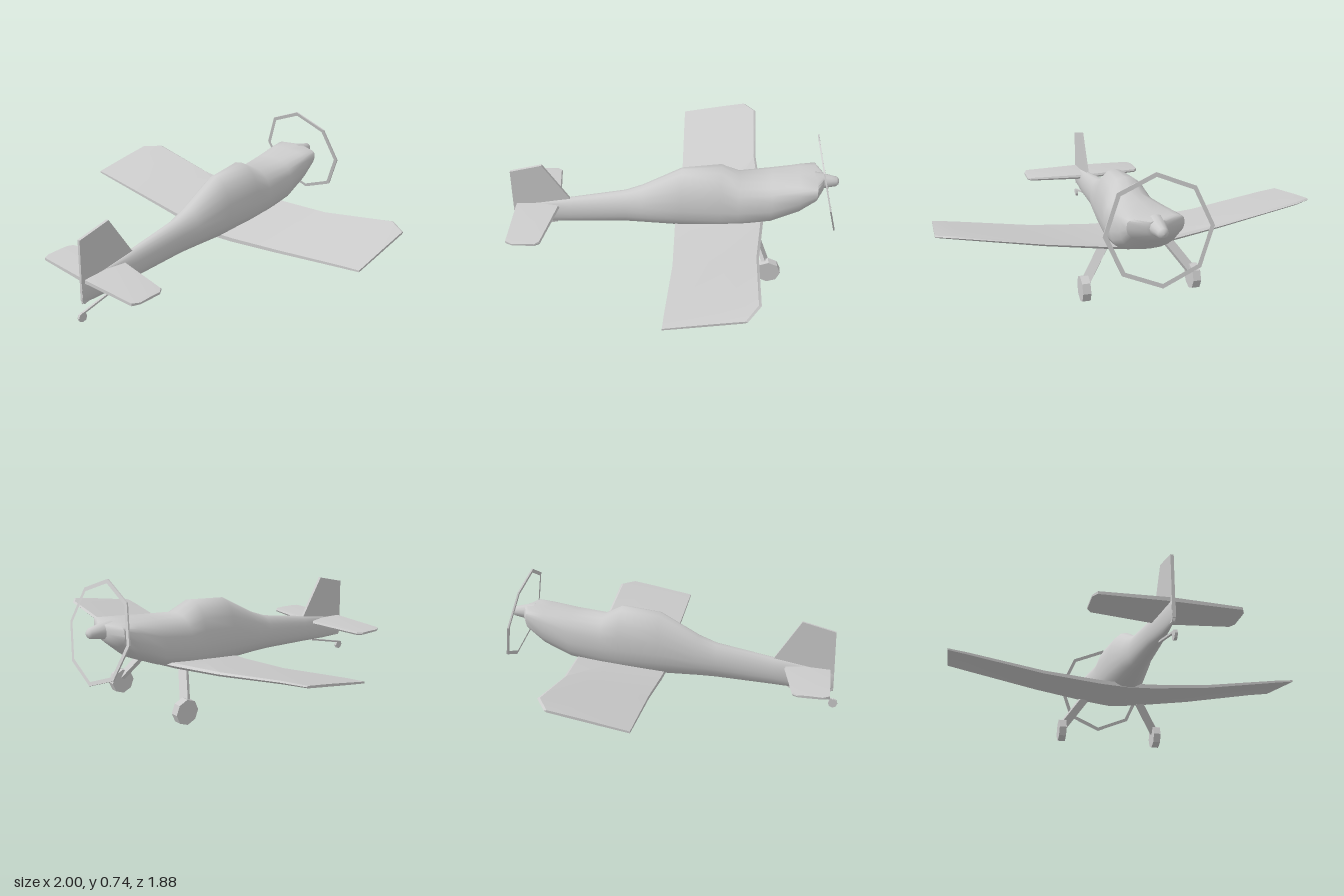
import * as THREE from 'three';
import { toCreasedNormals } from 'three/addons/utils/BufferGeometryUtils.js';

const material = new THREE.MeshStandardMaterial({ color: 0xcccccc });

function part(name, geometry, parent) {
  const mesh = new THREE.Mesh(geometry, material);
  mesh.name = name;
  parent.add(mesh);
  return mesh;
}

// Skin through closed rings of [x, y, z], each counterclockwise seen from the last ring; ends capped
function loft(rings, crease) {
  const n = rings[0].length;
  const points = rings.flat();
  const index = [];
  for (let i = 0; i < rings.length - 1; i++) {
    for (let j = 0; j < n; j++) {
      const k = (j + 1) % n;
      const a = i * n + j, d = i * n + k;
      index.push(a, d, d + n, a, d + n, a + n);
    }
  }
  [rings[0], rings[rings.length - 1]].forEach((ring, end) => {
    const c = points.length;
    points.push([0, 1, 2].map((q) => ring.reduce((s, p) => s + p[q], 0) / n));
    const base = end ? (rings.length - 1) * n : 0;
    for (let j = 0; j < n; j++) {
      const a = base + j, b = base + ((j + 1) % n);
      index.push(c, end ? a : b, end ? b : a);
    }
  });
  const g = new THREE.BufferGeometry();
  g.setAttribute('position', new THREE.Float32BufferAttribute(points.flat(), 3));
  g.setIndex(index);
  return toCreasedNormals(g, crease);
}

// Fuselage ring: rounded section with separate squareness above and below its widest line
function hullRing([z, bottom, mid, top, half, squareTop, squareBottom]) {
  const ring = [];
  for (let i = 0; i < 20; i++) {
    const a = (i / 20) * Math.PI * 2;
    const c = Math.cos(a), s = Math.sin(a);
    const e = 2 / (s >= 0 ? squareTop : squareBottom);
    const height = s >= 0 ? top - mid : mid - bottom;
    ring.push([
      half * Math.sign(c) * Math.abs(c) ** e,
      mid + height * Math.sign(s) * Math.abs(s) ** e,
      z,
    ]);
  }
  return ring;
}

// Airfoil ring at one span position, from leading edge to trailing edge and back
function foilRing([x, zLead, yLead, zTrail, yTrail, thick, belly]) {
  const outline = [[0, 0], [0.03, 0.5], [0.4, 0.6], [1, 0.4], [1, -0.4], [0.64, -0.5 - belly], [0.03, -0.5]];
  return outline.map(([t, o]) => [
    x,
    yLead + (yTrail - yLead) * t + o * thick,
    zLead + (zTrail - zLead) * t,
  ]);
}

// Full-span surface from the stations of one half, centre first
function span(stations) {
  const right = stations.slice(1).reverse().map(([x, ...rest]) => [-x, ...rest]);
  return loft([...right, ...stations].map(foilRing), 0.5);
}

// Flat bar between two points
function bar(name, from, to, width, depth, parent) {
  const a = new THREE.Vector3(...from), b = new THREE.Vector3(...to);
  const mesh = part(name, new THREE.BoxGeometry(width, a.distanceTo(b), depth), parent);
  mesh.position.copy(a).add(b).multiplyScalar(0.5);
  mesh.quaternion.setFromUnitVectors(new THREE.Vector3(0, 1, 0), b.sub(a).normalize());
  return mesh;
}

function wheel(name, radius, width, position, parent) {
  const g = new THREE.CylinderGeometry(radius, radius, width, 8).rotateZ(Math.PI / 2);
  part(name, toCreasedNormals(g, 0.5), parent).position.set(...position);
}

export function createModel() {
  const plane = new THREE.Group();
  plane.name = 'airplane';

  // Fuselage: z, bottom, widest height, top, half width, squareness above and below
  part('fuselage', loft([
    [-0.85, 0.44, 0.485, 0.525, 0.06, 2.2, 2],
    [-0.81, 0.405, 0.48, 0.53, 0.143, 4.5, 2.2],
    [-0.72, 0.325, 0.43, 0.525, 0.15, 3.8, 2.4],
    [-0.57, 0.26, 0.37, 0.512, 0.155, 2.8, 2.8],
    [-0.39, 0.215, 0.34, 0.496, 0.145, 2.4, 2.8],
    [-0.29, 0.19, 0.33, 0.55, 0.135, 2.2, 2.6],
    [-0.07, 0.17, 0.31, 0.525, 0.113, 2, 2.4],
    [0.15, 0.165, 0.27, 0.4, 0.085, 2, 2.2],
    [0.25, 0.16, 0.255, 0.36, 0.066, 2, 2.2],
    [0.57, 0.135, 0.21, 0.295, 0.045, 2, 2.2],
    [0.75, 0.118, 0.19, 0.26, 0.027, 2, 2.2],
    [0.91, 0.11, 0.17, 0.24, 0.01, 2, 2],
  ].map(hullRing), 0.9), plane);

  // Spinner, tapering forward to a blunt tip
  const spinner = part('spinner', new THREE.LatheGeometry([
    [0.05, -0.03], [0.045, 0.01], [0.033, 0.06], [0.027, 0.09], [0.016, 0.102], [0, 0.105],
  ].map((p) => new THREE.Vector2(...p)), 12), plane);
  spinner.rotation.x = -Math.PI / 2;
  spinner.position.set(0, 0.487, -0.832);

  // Eight-sided propeller ring, its top leaning back
  const octagon = (r) => Array.from({ length: 8 }, (_, i) =>
    new THREE.Vector2(r * Math.sin(i * Math.PI / 4), r * Math.cos(i * Math.PI / 4)));
  const disc = new THREE.Shape(octagon(0.272));
  disc.holes.push(new THREE.Path(octagon(0.25)));
  const ringGeometry = new THREE.ExtrudeGeometry(disc, { depth: 0.008, bevelEnabled: false });
  const ring = part('propellerRing', ringGeometry.translate(0, 0, -0.004), plane);
  ring.position.set(0, 0.48, -0.868);
  ring.rotation.x = 0.247;

  // Wing with dihedral and clipped tips: x, leading z and y, trailing z and y, thickness, belly
  part('wing', span([
    [0, -0.54, 0.255, -0.035, 0.18, 0.03, 0.5],
    [0.15, -0.53, 0.268, -0.04, 0.188, 0.028, 0.5],
    [0.47, -0.5, 0.305, -0.05, 0.222, 0.022, 0.4],
    [0.9, -0.5, 0.387, -0.037, 0.287, 0.016, 0.2],
    [1, -0.435, 0.378, -0.035, 0.3, 0.012, 0],
  ]), plane);

  // Tailplane
  part('tailplane', span([
    [0, 0.63, 0.243, 0.89, 0.233, 0.026, 0],
    [0.345, 0.683, 0.238, 0.878, 0.232, 0.018, 0],
    [0.365, 0.71, 0.237, 0.84, 0.233, 0.012, 0],
  ]), plane);

  // Fin and rudder, outlined in z and y
  const fin = new THREE.Shape([
    [0.57, 0.285], [0.72, 0.515], [0.905, 0.465], [0.912, 0.13], [0.9, 0.11], [0.75, 0.15],
  ].map((p) => new THREE.Vector2(...p)));
  const finGeometry = new THREE.ExtrudeGeometry(fin, { depth: 0.016, bevelEnabled: false });
  part('fin', finGeometry.translate(0, 0, -0.008).rotateY(-Math.PI / 2), plane);

  // Main gear, one leg and wheel on each side
  for (const side of [1, -1]) {
    const gear = new THREE.Group();
    gear.name = side > 0 ? 'leftGear' : 'rightGear';
    plane.add(gear);
    bar('gearLeg', [side * 0.17, 0.255, -0.48], [side * 0.285, 0.1, -0.56], 0.022, 0.048, gear);
    wheel('mainWheel', 0.068, 0.042, [side * 0.291, 0.073, -0.566], gear);
  }

  // Tail wheel on its spring
  bar('tailSpring', [0, 0.125, 0.66], [0, 0.058, 0.91], 0.012, 0.01, plane);
  wheel('tailWheel', 0.026, 0.014, [0, 0.038, 0.915], plane);

  return plane;
}
